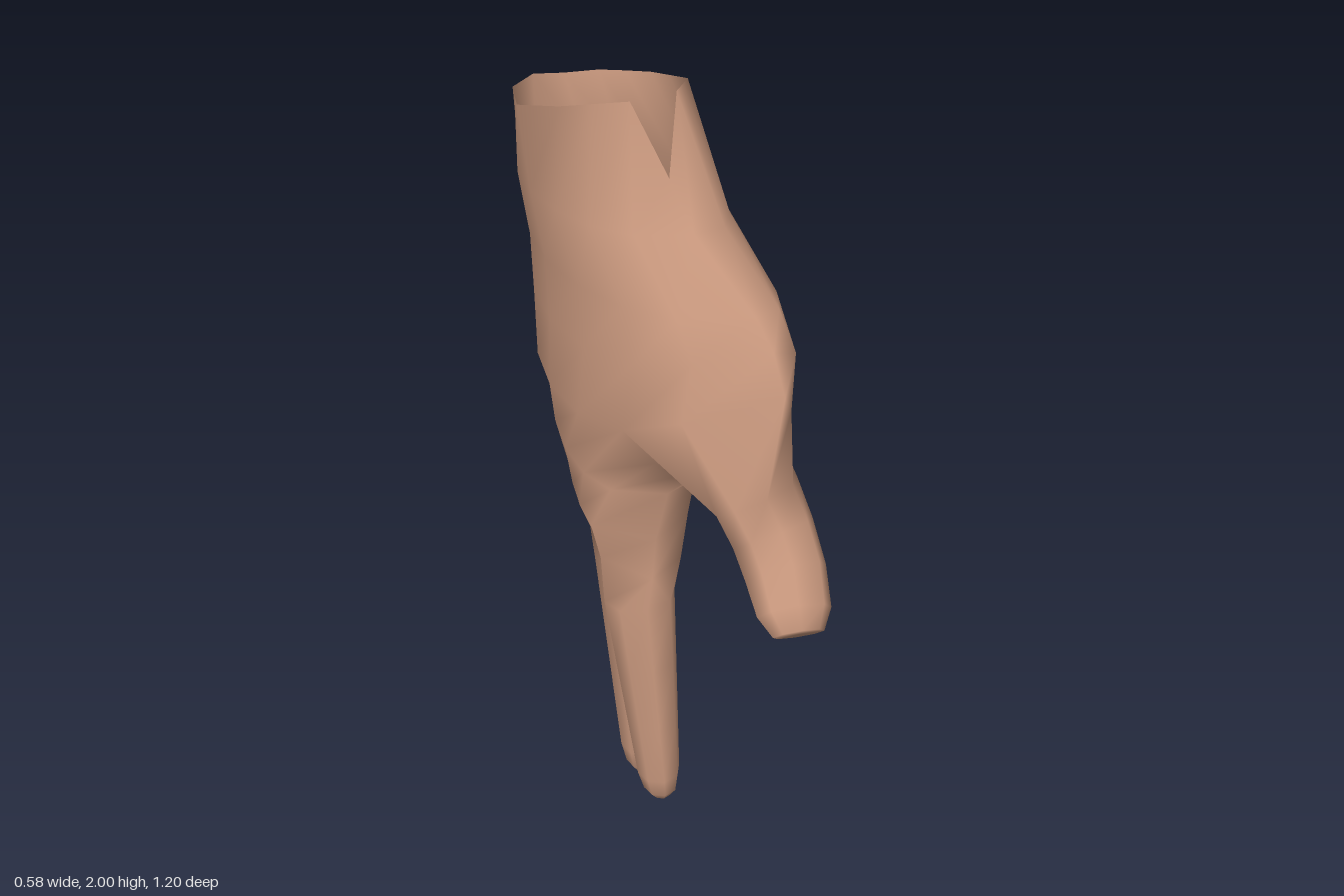
import * as THREE from 'three';

const mix = THREE.MathUtils.lerp;
const N = 16; // points around the palm; 0 = front edge, 4 = back of hand, 8 = rear edge, 12 = palm side

// Slanted wrist opening with a notch at the front: x, y, z
const RIM = [
  [0.015, 1.82, 0.02], [-0.07, 2, 0], [-0.15, 1.99, -0.03], [-0.22, 1.98, -0.06],
  [-0.29, 1.93, -0.23], [-0.28, 1.915, -0.34], [-0.27, 1.9, -0.44], [-0.2, 1.885, -0.567],
  [-0.12, 1.88, -0.572], [-0.03, 1.88, -0.576], [0.03, 1.885, -0.54], [0.09, 1.89, -0.5],
  [0.115, 1.91, -0.41], [0.14, 1.93, -0.32], [0.1, 1.955, -0.21], [0.06, 1.98, -0.1],
];

// Palm sections: y, extra y at front, front z, rear z, front x, rear x, sideways curve,
// depth to back of hand, depth to palm side, blend towards the flat knuckle row
const HEEL = [
  [1.72, 0, 0.115, -0.55, 0.05, -0.08, 1, 0.255, 0.165, 0],
  [1.57, 0, 0.26, -0.56, 0.16, 0, 1, 0.33, 0.135, 0],
  [1.42, 0.08, 0.31, -0.58, 0.19, 0.03, 1.5, 0.335, 0.14, 0],
  [1.25, 0.17, 0.375, -0.6, 0.2, 0.03, 3, 0.31, 0.115, 0.35],
];
const LOWER = [
  [1.09, 0, 0.205, -0.605, -0.03, 0.02, 1, 0.23, 0.125, 0.25],
  [0.96, 0, 0.205, -0.605, -0.06, 0.02, 1, 0.185, 0.115, 0.9],
  [0.845, 0, 0.21, -0.59, -0.07, 0.015, 1, 0.14, 0.1, 1],
];

// Points of one palm section
function section([y, rise, zf, zb, xf, xb, curve, back, front, k]) {
  return Array.from({ length: N }, (_, j) => {
    const a = j / N * Math.PI * 2, w = Math.sin(a);
    const s = mix(Math.cos(a), Math.abs(8 - j) / 4 - 1, k);
    const bulge = j % 8 ? Math.pow(Math.abs(w), mix(0.7, 0.15, k)) * (w > 0 ? -back : front) : 0;
    return new THREE.Vector3(
      mix(xb, xf, Math.pow((1 + s) / 2, curve)) + bulge,
      y + rise * Math.pow(Math.max(0, s), 4),
      mix(zb, zf, (1 + s) / 2));
  });
}

// Elliptical ring of eight points, starting at the front, around a path station
function limbRing(c, d, rx, rz) {
  const u = new THREE.Vector3(1, 0, 0);
  u.addScaledVector(d, -u.dot(d)).normalize();
  const v = d.clone().cross(u);
  return Array.from({ length: 8 }, (_, j) => {
    const a = j / 8 * Math.PI * 2;
    return c.clone().addScaledVector(v, Math.cos(a) * rz).addScaledVector(u, -Math.sin(a) * rx);
  });
}

// Stations [x, y, z, rx, rz] of a straight tapered finger with a rounded tip
function fingerStations(base, tip) {
  return [[0, 1], [0.3, 1], [0.6, 1], [0.87, 1], [0.955, 0.84], [1, 0.45]].map(([t, k]) =>
    base.map((b, i) => mix(b, tip[i], t) * (i > 2 ? k : 1)));
}

export function createModel() {
  const positions = [];
  const parts = {};

  // Rings hold vertex numbers, so neighbouring parts share vertices along their seams
  const put = p => positions.push(p.x, p.y, p.z) / 3 - 1;
  const putRing = ring => ring.map(put);
  const at = i => new THREE.Vector3().fromArray(positions, i * 3);
  const loft = (name, rings) => {
    const idx = parts[name] = [];
    for (let i = 0; i + 1 < rings.length; i++) {
      const a = rings[i], b = rings[i + 1], n = a.length;
      for (let j = 0; j < n; j++) {
        const m = (j + 1) % n;
        if (a[j] !== a[m]) idx.push(a[j], a[m], b[m]);
        if (b[j] !== b[m]) idx.push(a[j], b[m], b[j]);
      }
    }
  };
  const limb = (name, root, stations) => {
    const pts = stations.map(s => new THREE.Vector3(s[0], s[1], s[2]));
    const rings = stations.map((s, i) => {
      const d = pts[Math.min(i + 1, pts.length - 1)].clone().sub(pts[Math.max(i - 1, 0)]).normalize();
      return putRing(limbRing(pts[i], d, s[3], s[4]));
    });
    const end = put(pts[pts.length - 1]);
    loft(name, [root, ...rings, Array(8).fill(end)]);
  };

  // Wrist and heel of the hand
  const rim = RIM.map(p => new THREE.Vector3(...p));
  const upperRings = [rim, ...HEEL.map(section)].map(putRing);
  loft('wrist', upperRings);

  // The heel divides into the thumb root and the lower palm at the crotch of the thumb
  const split = upperRings[upperRings.length - 1];
  const crotch = [[0.035, 1.15, 0.222], [-0.06, 1.185, 0.212], [0.135, 1.19, 0.23]]
    .map(c => put(new THREE.Vector3(...c)));
  limb('thumb', [split[0], split[1], split[2], crotch[1], crotch[0], crotch[2], split[14], split[15]], [
    [0.15, 1.15, 0.352, 0.107, 0.09],
    [0.18, 1.07, 0.393, 0.103, 0.084],
    [0.195, 0.998, 0.457, 0.1, 0.075],
    [0.195, 0.94, 0.535, 0.09, 0.055],
    [0.195, 0.906, 0.575, 0.062, 0.036],
  ]);

  // Lower palm down to the knuckle row, higher on the back of the hand
  const lower = LOWER.map(section);
  lower[2].forEach((p, j) => { p.y += 0.04 * Math.sin(j / N * Math.PI * 2); });
  const lowerRings = lower.map(putRing);
  loft('palm', [[crotch[0], crotch[1], ...split.slice(2, 15), crotch[2]], ...lowerRings]);

  // Webs between the fingers
  const row = lowerRings[2];
  const webs = [row[0]];
  for (const k of [2, 4, 6]) {
    const p = at(row[k]).lerp(at(row[N - k]), 0.5);
    p.y = 0.785;
    webs.push(put(p));
  }
  webs.push(row[8]);

  // Fingers: base and tip as x, y, z, rx, rz
  const fingers = {
    indexFinger: [[-0.085, 0.74, 0.127, 0.092, 0.096], [-0.05, 0.135, 0.222, 0.052, 0.068]],
    middleFinger: [[-0.068, 0.74, -0.068, 0.096, 0.109], [-0.047, 0.003, -0.032, 0.052, 0.066]],
    ringFinger: [[-0.025, 0.74, -0.29, 0.094, 0.106], [0.012, 0.045, -0.262, 0.047, 0.064]],
    littleFinger: [[0, 0.74, -0.497, 0.08, 0.088], [0.012, 0.285, -0.5, 0.044, 0.058]],
  };
  Object.entries(fingers).forEach(([name, [base, tip]], f) => {
    const j = f * 2;
    const root = [webs[f], row[j], row[j + 1], row[j + 2], webs[f + 1],
      row[N - j - 2], row[N - j - 1], row[(N - j) % N]];
    limb(name, root, fingerStations(base, tip));
  });

  // Smooth normals across the whole hand, then one mesh per part
  const whole = new THREE.BufferGeometry();
  whole.setAttribute('position', new THREE.Float32BufferAttribute(positions, 3));
  whole.setIndex(Object.values(parts).flat());
  whole.computeVertexNormals();

  const skin = new THREE.MeshStandardMaterial({ color: 0xc6967c, side: THREE.DoubleSide });
  skin.name = 'skin';
  const group = new THREE.Group();
  group.name = 'hand';
  for (const [name, index] of Object.entries(parts)) {
    const g = new THREE.BufferGeometry();
    g.setAttribute('position', whole.getAttribute('position'));
    g.setAttribute('normal', whole.getAttribute('normal'));
    g.setIndex(index);
    const mesh = new THREE.Mesh(g, skin);
    mesh.name = name;
    group.add(mesh);
  }
  return group;
}
